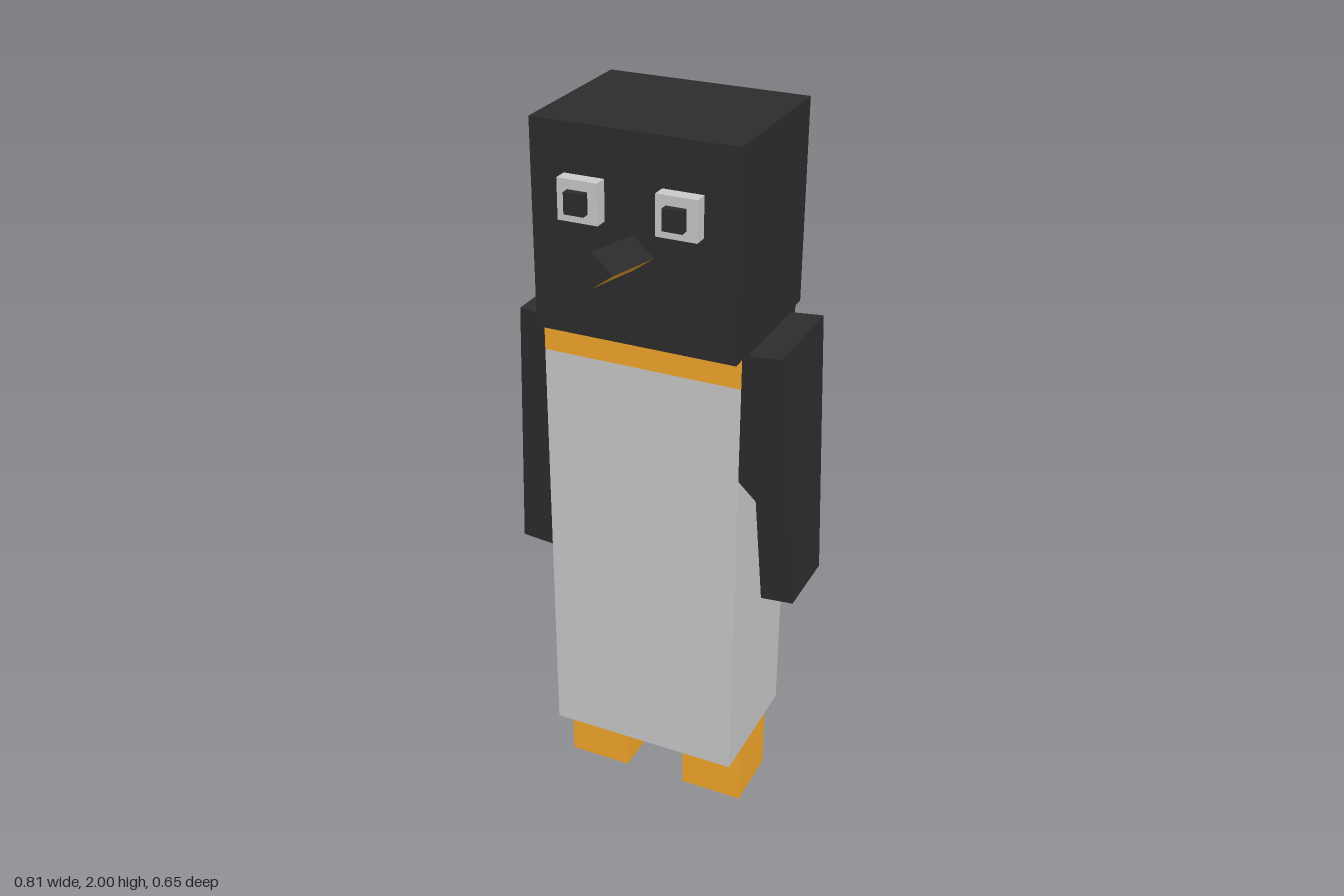
import * as THREE from 'three';

const paint = (color) => new THREE.MeshStandardMaterial({ color, flatShading: true });

export function createModel() {
  const model = new THREE.Group();
  const black = paint(0x2d2d2d);
  const orange = paint(0xf5a82b);
  const grey = paint(0xcccccc);

  const add = (name, geometry, material, parent = model) => {
    const mesh = new THREE.Mesh(geometry, material);
    mesh.name = name;
    parent.add(mesh);
    return mesh;
  };

  // Box given by its extents along each axis
  const block = (name, [x0, x1], [y0, y1], [z0, z1], material, parent) => {
    const g = new THREE.BoxGeometry(x1 - x0, y1 - y0, z1 - z0);
    g.translate((x0 + x1) / 2, (y0 + y1) / 2, (z0 + z1) / 2);
    return add(name, g, material, parent);
  };

  // Flat convex panel, corners counter-clockwise seen from outside
  const panel = (name, corners, material, parent) => {
    const g = new THREE.BufferGeometry();
    g.setAttribute('position', new THREE.Float32BufferAttribute(corners.flat(), 3));
    const index = [];
    for (let i = 1; i < corners.length - 1; i++) index.push(0, i, i + 1);
    g.setIndex(index);
    g.computeVertexNormals();
    return add(name, g, material, parent);
  };

  // Mirrors a corner loop across x = 0 and keeps it facing outwards
  const mirrored = (corners, side) =>
    side > 0 ? corners : corners.map(([x, y, z]) => [-x, y, z]).reverse();

  const sides = [[1, 'left'], [-1, 'right']];
  const span = (side, a, b) => (side > 0 ? [a, b] : [-b, -a]);

  // Head
  block('head', [-0.272, 0.272], [1.46, 2], [-0.325, 0.108], black);

  // Body: one box whose faces are coloured separately
  const body = new THREE.Group();
  body.name = 'body';
  model.add(body);
  const w = 0.272, bottom = 0.185, top = 1.46, collar = 1.38, front = 0.07, back = -0.29;
  const frontSplit = 1.12, backSplit = 0.76;
  panel('belly', [[-w, bottom, front], [w, bottom, front], [w, collar, front], [-w, collar, front]], grey, body);
  panel('collar', [[-w, collar, front], [w, collar, front], [w, top, front], [-w, top, front]], orange, body);
  panel('back', [[w, bottom, back], [-w, bottom, back], [-w, top, back], [w, top, back]], black, body);
  panel('underside', [[-w, bottom, back], [w, bottom, back], [w, bottom, front], [-w, bottom, front]], grey, body);
  panel('bodyTop', [[-w, top, front], [w, top, front], [w, top, back], [-w, top, back]], black, body);
  for (const [s, label] of sides) {
    panel(label + 'LowerFlank', mirrored([
      [w, bottom, front], [w, bottom, back], [w, backSplit, back], [w, frontSplit, front],
    ], s), grey, body);
    panel(label + 'UpperFlank', mirrored([
      [w, frontSplit, front], [w, backSplit, back], [w, top, back], [w, top, front],
    ], s), black, body);
  }

  for (const [s, label] of sides) {
    // Eyes and pupils
    block(label + 'Eye', span(s, 0.075, 0.182), [1.77, 1.875], [0.108, 0.145], grey);
    block(label + 'Pupil', span(s, 0.101, 0.154), [1.795, 1.85], [0.145, 0.167], black);

    // Feet
    block(label + 'Foot', span(s, 0.09, 0.272), [0, 0.185], [-0.2, -0.015], orange);

    // Flippers: a box tapered downwards and leaning outwards
    const g = new THREE.BoxGeometry(2, 2, 2);
    const p = g.attributes.position;
    for (let i = 0; i < p.count; i++) {
      const up = p.getY(i) > 0;
      const outer = p.getX(i) * s > 0;
      const fore = p.getZ(i) > 0;
      const x = (up ? 0.272 : 0.317) + (outer ? 0.09 : 0);
      const y = (up ? 1.455 : 0.73) + (outer ? 0.008 : 0);
      const z = up ? (fore ? 0.034 : -0.256) : (fore ? -0.008 : -0.212);
      p.setXYZ(i, s * x, y, z);
    }
    g.computeVertexNormals();
    add(label + 'Flipper', g, black);
  }

  // Beak: diamond section rising towards the tip, dark above and orange below
  const beak = new THREE.Group();
  beak.name = 'beak';
  model.add(beak);
  const section = (z, drop) => ({
    ridge: [0, 1.785 - drop, z],
    corner: [0.054, 1.735 - drop, z],
    keel: [0, 1.695 - drop, z],
  });
  const tip = section(0.325, 0);
  const root = section(0.108, 0.037);
  for (const [s, label] of sides) {
    panel(label + 'UpperBeak', mirrored([tip.ridge, tip.corner, root.corner, root.ridge], s), black, beak);
    panel(label + 'LowerBeak', mirrored([tip.corner, tip.keel, root.keel, root.corner], s), orange, beak);
    panel(label + 'BeakTip', mirrored([tip.keel, tip.corner, tip.ridge], s), black, beak);
  }

  return model;
}
